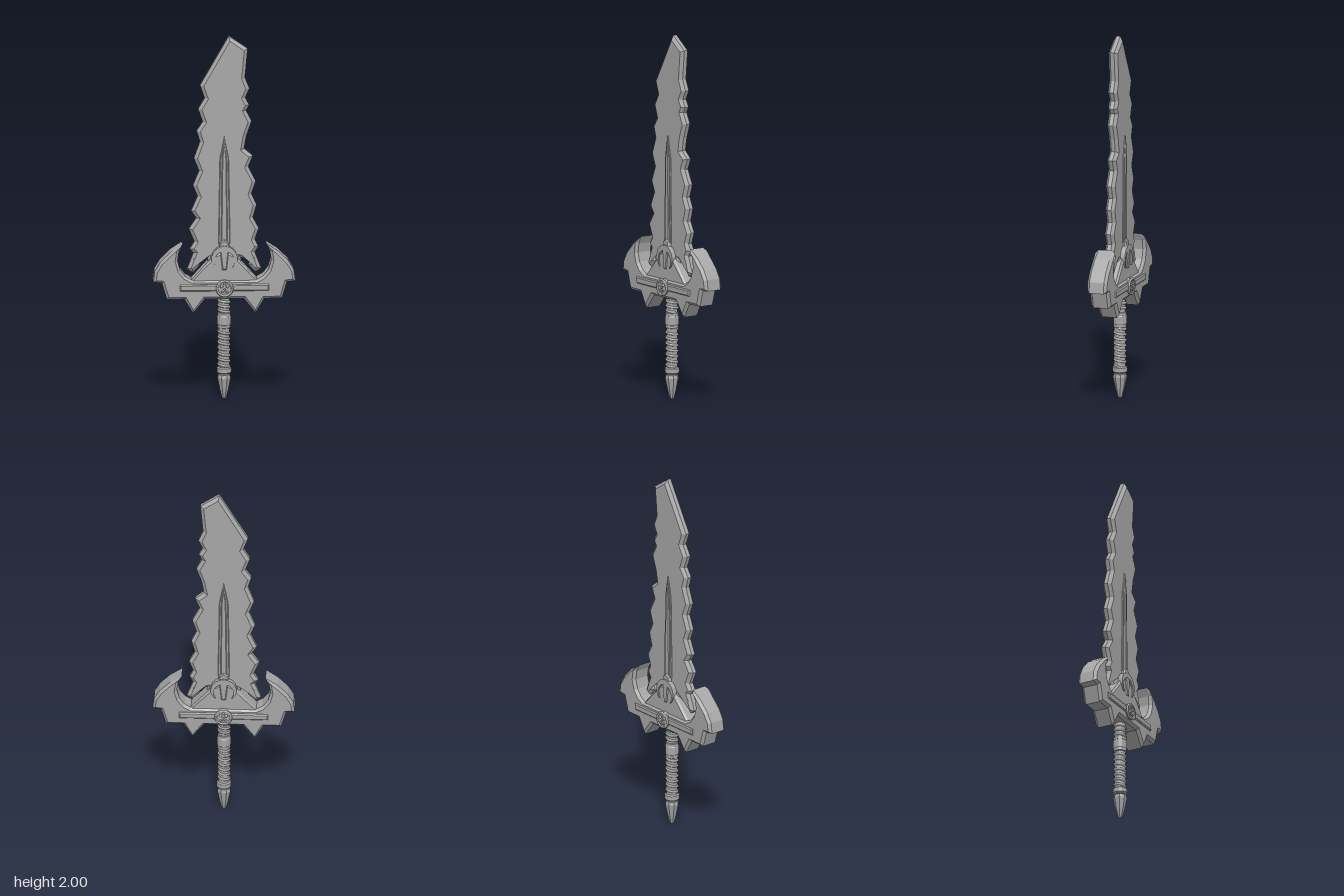
import * as THREE from 'three';

const steel = new THREE.MeshStandardMaterial({ color: 0xa6a6a6 });
steel.name = 'steel grey';

const mirrorX = (pts) => pts.map(([x, y]) => [-x, y]).reverse();

// Bevelled plate centred on z: half = half thickness, b = bevel depth, s = bevel width
function plate(pts, half, b, s) {
  const shape = new THREE.Shape(pts.map(([x, y]) => new THREE.Vector2(x, y)));
  const g = new THREE.ExtrudeGeometry(shape, {
    depth: 2 * (half - b), bevelEnabled: b > 0, bevelThickness: b,
    bevelSize: s, bevelOffset: -s, bevelSegments: 1, curveSegments: 8,
  });
  return g.translate(0, 0, -(half - b));
}

// Faceted turned part
function turned(profile, sides) {
  const pts = profile.map(([r, y]) => new THREE.Vector2(r, y));
  const g = new THREE.LatheGeometry(pts, sides, Math.PI / sides).toNonIndexed();
  g.computeVertexNormals();
  return g;
}

// Cord wound round the grip
function wrap(y0, y1, turns, radius, thick) {
  const pts = [];
  const n = turns * 12;
  for (let i = 0; i <= n; i++) {
    const a = (i / 12) * Math.PI * 2;
    pts.push(new THREE.Vector3(Math.cos(a) * radius, y0 + ((y1 - y0) * i) / n, Math.sin(a) * radius));
  }
  return new THREE.TubeGeometry(new THREE.CatmullRomCurve3(pts), n * 2, thick, 6);
}

export function createModel() {
  const group = new THREE.Group();
  const add = (name, geometry, x = 0, y = 0, z = 0) => {
    const m = new THREE.Mesh(geometry, steel);
    m.name = name;
    m.position.set(x, y, z);
    group.add(m);
    return m;
  };

  // Jagged blade with a slanted tip
  const rightEdge = [
    [0.09, 0.78], [0.14, 0.77], [0.13, 0.74], [0.17, 0.7], [0.2, 0.72],
    [0.165, 0.81], [0.185, 0.84], [0.165, 0.88], [0.187, 0.94], [0.155, 1.0], [0.175, 1.07],
    [0.147, 1.13], [0.17, 1.2], [0.13, 1.28], [0.155, 1.34], [0.107, 1.38],
    [0.12, 1.45], [0.148, 1.53], [0.118, 1.59], [0.135, 1.62], [0.113, 1.66],
    [0.137, 1.71], [0.112, 1.77], [0.127, 1.93],
  ];
  const leftEdge = [
    [0.025, 2.0], [-0.13, 1.73], [-0.105, 1.66], [-0.14, 1.6], [-0.115, 1.53], [-0.148, 1.48],
    [-0.13, 1.42], [-0.163, 1.33], [-0.135, 1.26], [-0.168, 1.18], [-0.143, 1.12],
    [-0.178, 1.04], [-0.15, 1.0], [-0.19, 0.94], [-0.16, 0.87], [-0.185, 0.83],
    [-0.165, 0.81], [-0.2, 0.72], [-0.17, 0.7], [-0.13, 0.74], [-0.14, 0.77], [-0.09, 0.78],
  ];
  add('blade', plate([[-0.09, 0.7], [0.09, 0.7], ...rightEdge, ...leftEdge], 0.026, 0.015, 0.018));

  // Raised spine with a narrower ridge along the blade
  const spine = (w, top) => [[-w, 0.86], [w, 0.86], [w * 0.75, 1.33], [0, top], [-w * 0.75, 1.33]];
  add('spineRim', plate(spine(0.032, 1.45), 0.031, 0.004, 0.004));
  add('spineRidge', plate(spine(0.02, 1.42), 0.036, 0.007, 0.007));

  // Crossguard: horned wings, stepped sides and lower spikes
  const half = [
    [0.105, 0.56], [0.168, 0.48], [0.215, 0.56], [0.31, 0.56], [0.337, 0.65], [0.383, 0.655],
    [0.375, 0.715], [0.345, 0.765], [0.29, 0.82], [0.225, 0.862],
    [0.245, 0.82], [0.252, 0.77], [0.238, 0.72], [0.21, 0.685], [0.175, 0.665],
  ];
  add('guard', plate([...half, ...mirrorX(half)], 0.056, 0.015, 0.014));

  // Gable in front of the blade root
  add('gable', plate([[-0.19, 0.65], [0.19, 0.65], [0.055, 0.8], [0, 0.825], [-0.055, 0.8]], 0.045, 0.01, 0.012));

  // Crossbar visible on both faces
  add('crossbar', plate([[-0.24, 0.606], [0.24, 0.606], [0.24, 0.642], [-0.24, 0.642]], 0.064, 0.006, 0.006));

  // Horseshoe crescent, thick at the crown and tapering to its tips
  const crescent = [];
  const steps = 14;
  for (let i = 0; i <= steps; i++) {
    const a = -0.85 + ((Math.PI + 1.7) * i) / steps;
    crescent.push([Math.cos(a) * 0.07, 0.782 + Math.sin(a) * 0.07]);
  }
  for (let i = steps; i >= 0; i--) {
    const a = -0.85 + ((Math.PI + 1.7) * i) / steps;
    const r = 0.066 - 0.026 * Math.sin((Math.PI * i) / steps);
    crescent.push([Math.cos(a) * r, 0.782 + Math.sin(a) * r]);
  }
  add('crescent', plate(crescent, 0.052, 0, 0));
  add('crescentProng', plate([[-0.012, 0.72], [0.012, 0.72], [0.024, 0.83], [-0.024, 0.83]], 0.05, 0.005, 0.005));
  add('crescentKnob', plate([[-0.03, 0.84], [0.03, 0.84], [0.022, 0.872], [0, 0.885], [-0.022, 0.872]], 0.044, 0.008, 0.006));

  // Round medallion with rim and raised relief on both faces
  add('medallion', new THREE.CylinderGeometry(0.044, 0.044, 0.138, 20).rotateX(Math.PI / 2), 0, 0.622, 0);
  const relief = [[-0.016, 0.012, 0.009], [0.016, 0.012, 0.009], [0, -0.004, 0.006],
    [-0.014, -0.018, 0.006], [0, -0.022, 0.006], [0.014, -0.018, 0.006], [0, 0.026, 0.007]];
  for (const side of [-1, 1]) {
    add('medallionRim', new THREE.TorusGeometry(0.041, 0.007, 6, 24), 0, 0.622, side * 0.067);
    for (const [x, y, r] of relief) {
      const bump = add('medallionRelief', new THREE.SphereGeometry(r, 8, 6), x, 0.622 + y, side * 0.069);
      bump.scale.z = 0.8;
    }
  }

  // Grip core, cord windings and collars
  add('grip', new THREE.CylinderGeometry(0.031, 0.031, 0.43, 16), 0, 0.355, 0);
  add('lowerWrap', wrap(0.18, 0.39, 7, 0.029, 0.008));
  add('upperWrap', wrap(0.48, 0.56, 3, 0.029, 0.008));
  const collar = (y, h, r) => add('collar', turned(
    [[0.028, y - h], [r, y - h * 0.6], [r, y + h * 0.6], [0.028, y + h]], 12));
  collar(0.435, 0.035, 0.038);
  collar(0.402, 0.012, 0.036);
  collar(0.468, 0.012, 0.036);
  collar(0.16, 0.02, 0.04);

  // Pointed pommel on a short neck
  add('pommel', turned([[0, 0], [0.012, 0.006], [0.024, 0.05], [0.038, 0.118],
    [0.034, 0.135], [0.02, 0.138], [0.02, 0.15]], 8));

  return group;
}
